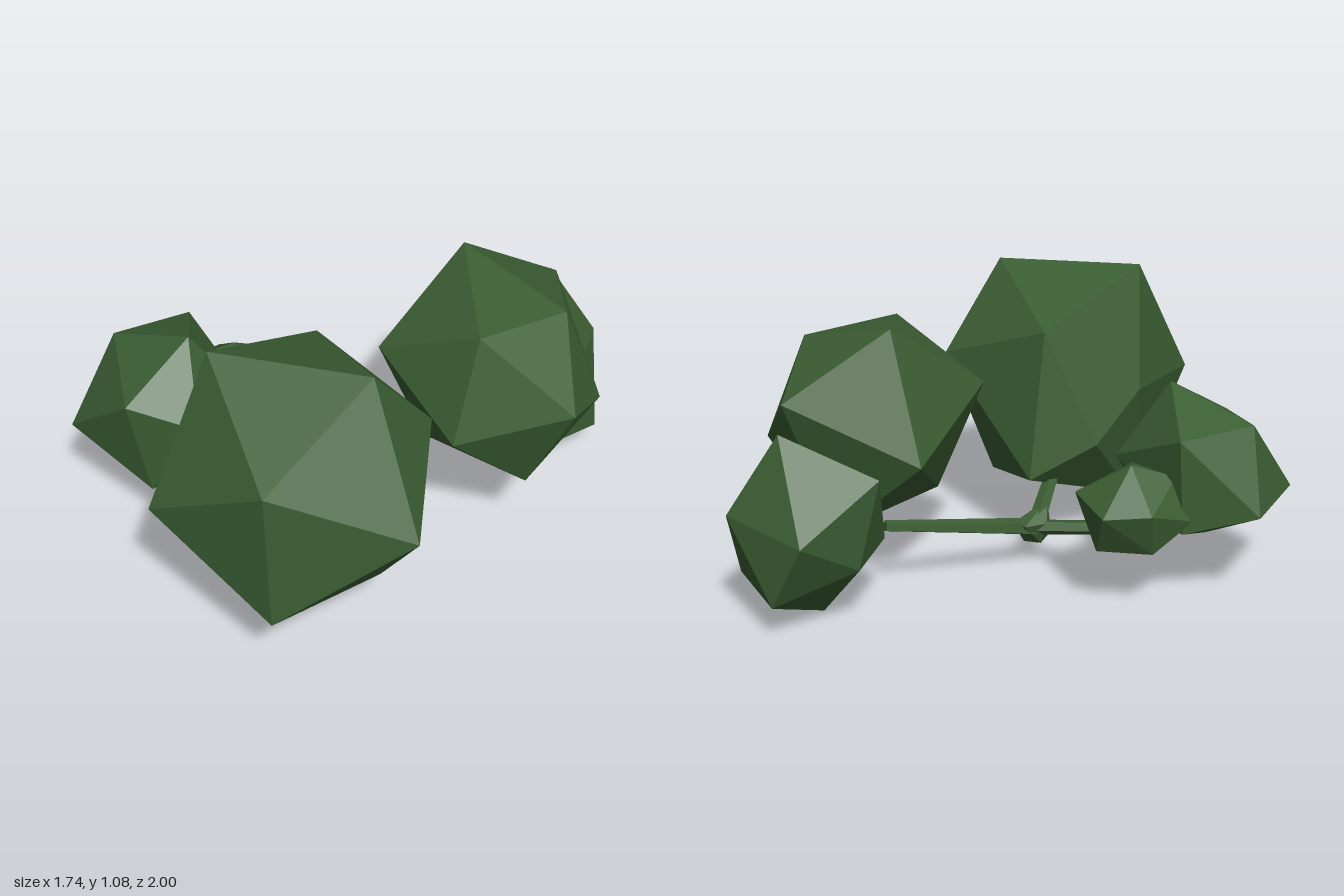
import * as THREE from 'three';
import { ConvexGeometry } from 'three/addons/geometries/ConvexGeometry.js';

const leaf = new THREE.MeshStandardMaterial({ color: 0x3b5e33, flatShading: true });
const v = (p) => new THREE.Vector3(...p);

// Faceted, irregular twenty-sided lump spanned by its corner points
function lump(name, corners) {
  const mesh = new THREE.Mesh(new ConvexGeometry(corners.map(v)), leaf);
  mesh.name = name;
  return mesh;
}

// Straight five-sided branch, tapering from a to b
function branch(name, a, b, r0, r1) {
  const from = v(a), dir = v(b).sub(from);
  const mesh = new THREE.Mesh(new THREE.CylinderGeometry(r1, r0, dir.length(), 5), leaf);
  mesh.position.copy(from).addScaledVector(dir, 0.5);
  mesh.quaternion.setFromUnitVectors(new THREE.Vector3(0, 1, 0), dir.normalize());
  mesh.name = name;
  return mesh;
}

export function createModel() {
  const bush = new THREE.Group();
  bush.name = 'bush';

  // Leaf clumps, each listed from top to bottom
  bush.add(lump('largeFrontClump', [
    [-0.035, 1.075, 0.69], [0.465, 1.06, 0.44], [0.02, 0.905, 0.195], [0.43, 0.87, 0.955],
    [0.5, 0.73, 0.16], [-0.16, 0.63, 0.55], [0.775, 0.615, 0.59], [-0.05, 0.59, 0.995],
    [-0.145, 0.465, 0.31], [0.02, 0.335, 0.115], [0.44, 0.315, 0.945], [0.48, 0.17, 0.41],
    [-0.04, 0.125, 0.665],
  ]));
  bush.add(lump('upperBackClump', [
    [0.2, 1.03, -0.425], [0.52, 0.94, -0.08], [0.645, 0.915, -0.435], [0.385, 0.8, -0.78],
    [0.12, 0.75, -0.03], [0.865, 0.705, -0.18], [0.025, 0.56, -0.46], [0.525, 0.555, 0.06],
    [0.755, 0.52, -0.545], [0.25, 0.33, -0.15], [0.675, 0.3, -0.2], [0.38, 0.24, -0.55],
  ]));
  bush.add(lump('lowerBackClump', [
    [0.31, 0.735, -0.865], [0.06, 0.56, -0.63], [0.42, 0.5, -0.52], [0.45, 0.435, -1],
    [0.57, 0.43, -0.7], [0.1, 0.4, -0.97], [0.18, 0.26, -0.5], [0.08, 0.24, -0.72],
    [0.24, 0.14, -0.99], [0.59, 0.115, -0.84], [0.5, 0.11, -0.58], [0.3, 0, -0.7],
  ]));
  bush.add(lump('sideClump', [
    [-0.43, 0.775, 0.38], [-0.765, 0.67, 0.435], [-0.65, 0.66, 0.15], [-0.48, 0.6, 0.67],
    [-0.27, 0.51, 0.52], [-0.31, 0.5, 0.22], [-0.875, 0.37, 0.34], [-0.785, 0.37, 0.67],
    [-0.66, 0.3, 0.17], [-0.43, 0.21, 0.62], [-0.585, 0.2, 0.42], [-0.4, 0.21, 0.36],
  ]));
  bush.add(lump('smallClump', [
    [-0.49, 0.55, 0.08], [-0.4, 0.5, 0.2], [-0.6, 0.5, 0.2], [-0.315, 0.43, -0.02],
    [-0.65, 0.42, 0], [-0.52, 0.41, -0.115], [-0.3, 0.36, 0.16], [-0.685, 0.35, 0.2],
    [-0.48, 0.35, 0.27], [-0.45, 0.25, -0.06], [-0.62, 0.25, 0.05], [-0.35, 0.23, 0.1],
    [-0.5, 0.21, 0.12],
  ]));

  // Knot where the branches meet, with its stub reaching down
  const hub = [-0.03, 0.165, 0.09];
  bush.add(lump('branchKnot', [
    [-0.02, 0.25, 0.17], [-0.08, 0.19, 0.1], [0.02, 0.19, 0.02], [-0.04, 0.19, 0.02],
    [0.02, 0.15, 0.14], [-0.05, 0.13, 0.16], [0.01, 0.1, 0.07], [-0.05, 0.1, 0.1],
  ]));

  // Branches running from the knot into the clumps
  bush.add(branch('sideBranch', hub, [-0.43, 0.215, 0.29], 0.03, 0.026));
  bush.add(branch('backBranch', hub, [0.22, 0.28, -0.46], 0.035, 0.022));
  bush.add(branch('frontBranch', hub, [0.03, 0.36, 0.28], 0.035, 0.025));
  bush.add(branch('smallTwig', [-0.38, 0.21, 0.26], [-0.46, 0.28, 0.12], 0.026, 0.02));
  return bush;
}
